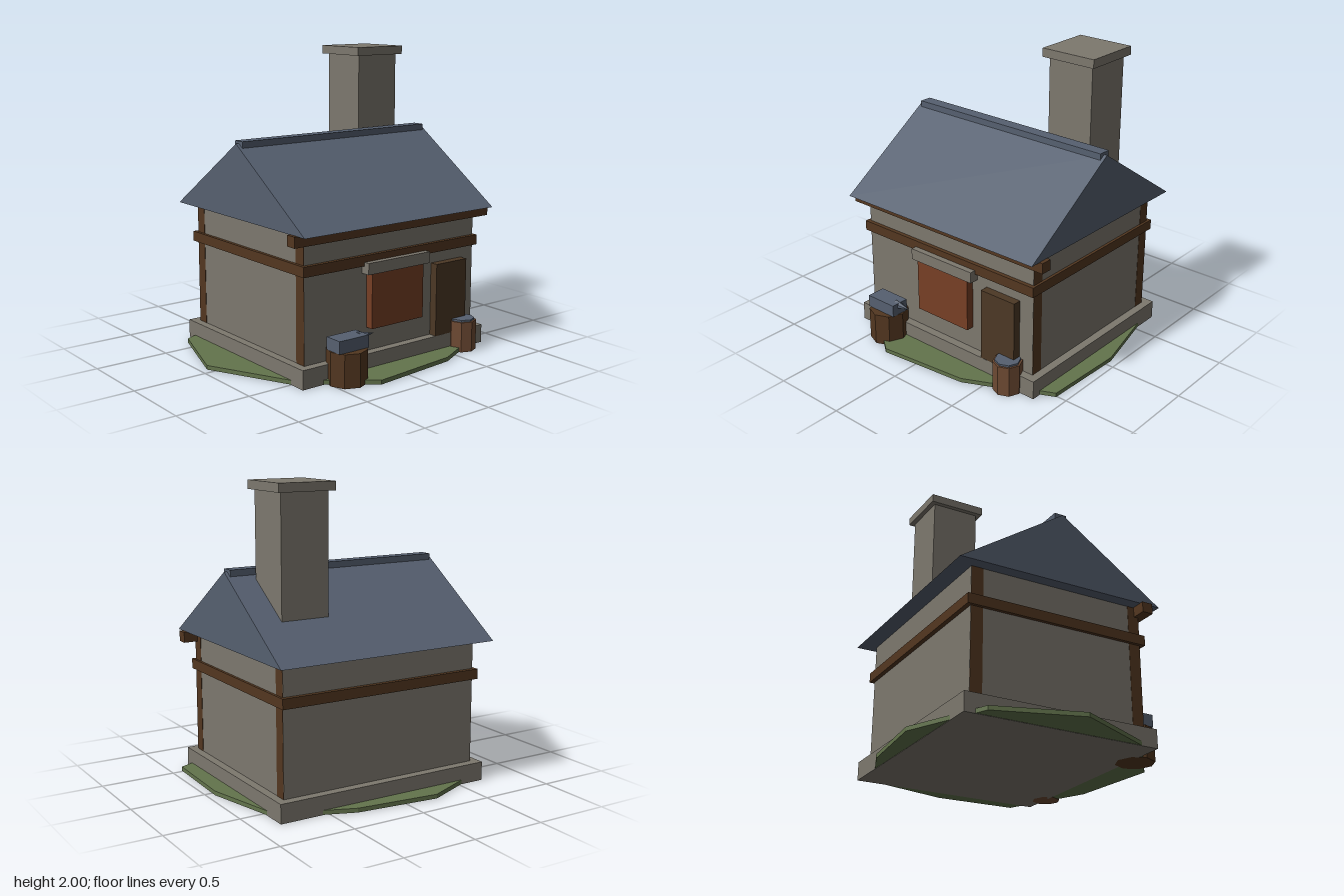
import * as THREE from 'three';

const mat = (name, color) => {
  const m = new THREE.MeshStandardMaterial({ color });
  m.name = name;
  return m;
};

export function createModel() {
  const model = new THREE.Group();
  model.name = 'smithy';

  const stone = mat('stone', 0x7d786e);
  const slate = mat('slate', 0x566070);
  const timber = mat('timber', 0x533720);
  const doorWood = mat('doorWood', 0x4c3825);
  const shutterRed = mat('shutterRust', 0x773f25);
  const barrelWood = mat('barrelWood', 0x6e4a33);
  const grass = mat('grass', 0x63744c);

  const add = (name, geometry, material, x = 0, y = 0, z = 0) => {
    const mesh = new THREE.Mesh(geometry, material);
    mesh.name = name;
    mesh.position.set(x, y, z);
    model.add(mesh);
    return mesh;
  };
  // Box given by its extents on each axis
  const box = (name, material, [x0, x1], [y0, y1], [z0, z1]) =>
    add(name, new THREE.BoxGeometry(x1 - x0, y1 - y0, z1 - z0), material,
      (x0 + x1) / 2, (y0 + y1) / 2, (z0 + z1) / 2);
  // Faceted upright drum standing at height y
  const drum = (name, material, r, h, x, y, z) =>
    add(name, new THREE.CylinderGeometry(r, r, h, 8).toNonIndexed(), material, x, y + h / 2, z)
      .geometry.computeVertexNormals();

  // Uneven ten-sided patch of ground, outline as [x, z]
  const outline = [
    [0.95, -0.05], [0.82, -0.6], [0.34, -0.79], [-0.22, -0.845], [-0.77, -0.6],
    [-0.955, -0.05], [-0.69, 0.5], [-0.25, 0.838], [0.37, 0.775], [0.93, 0.51],
  ];
  const ground = new THREE.ExtrudeGeometry(
    new THREE.Shape(outline.map(([x, z]) => new THREE.Vector2(x, -z))),
    { depth: 0.028, bevelEnabled: false });
  ground.rotateX(-Math.PI / 2);
  add('ground', ground, grass, 0, 0.002, 0);

  // Masonry body
  box('foundation', stone, [-0.69, 0.835], [0, 0.125], [-0.71, 0.62]);
  box('walls', stone, [-0.635, 0.78], [0.125, 0.95], [-0.65, 0.563]);

  // Timber frame
  for (const [x0, x1] of [[-0.637, -0.555], [0.70, 0.782]])
    for (const [z0, z1] of [[-0.649, -0.568], [0.481, 0.562]])
      box('cornerPost', timber, [x0, x1], [0.125, 0.95], [z0, z1]);
  box('beltBeam', timber, [-0.658, 0.798], [0.69, 0.757], [-0.68, 0.59]);
  box('eaveBeam', timber, [-0.735, 0.878], [0.885, 0.955], [0.53, 0.605]);

  // Gabled roof and ridge cap
  const gable = new THREE.Shape([
    new THREE.Vector2(-0.675, 0.953), new THREE.Vector2(0.765, 0.953), new THREE.Vector2(0.045, 1.435),
  ]);
  const roof = new THREE.ExtrudeGeometry(gable, { depth: 1.565, bevelEnabled: false });
  roof.rotateY(Math.PI / 2);
  add('roof', roof, slate, -0.712, 0, 0);
  box('ridgeCap', slate, [-0.69, 0.832], [1.408, 1.45], [-0.09, -0.005]);

  // Chimney
  box('chimney', stone, [0.34, 0.67], [1.0, 1.945], [-0.447, -0.118]);
  box('chimneyCap', stone, [0.307, 0.70], [1.943, 2], [-0.48, -0.085]);

  // Door, shuttered window and lintel
  box('door', doorWood, [0.405, 0.675], [0.125, 0.615], [0.54, 0.619]);
  box('shutter', shutterRed, [-0.145, 0.287], [0.28, 0.64], [0.54, 0.618]);
  box('lintel', stone, [-0.185, 0.33], [0.64, 0.715], [0.54, 0.63]);

  // Anvil on its stump
  drum('stump', timber, 0.13, 0.218, -0.385, 0, 0.667);
  box('anvilBody', slate, [-0.5, -0.27], [0.218, 0.30], [0.61, 0.738]);
  const horn = new THREE.ConeGeometry(0.032, 0.125, 6);
  horn.rotateY(Math.PI / 2);
  horn.rotateZ(-Math.PI / 2);
  const hornFlat = horn.toNonIndexed();
  hornFlat.computeVertexNormals();
  add('anvilHorn', hornFlat, slate, -0.243, 0.279, 0.675);

  // Quenching barrel with its dark surface
  drum('barrel', barrelWood, 0.096, 0.205, 0.635, 0, 0.63);
  drum('barrelTop', slate, 0.083, 0.015, 0.635, 0.203, 0.63);

  return model;
}
